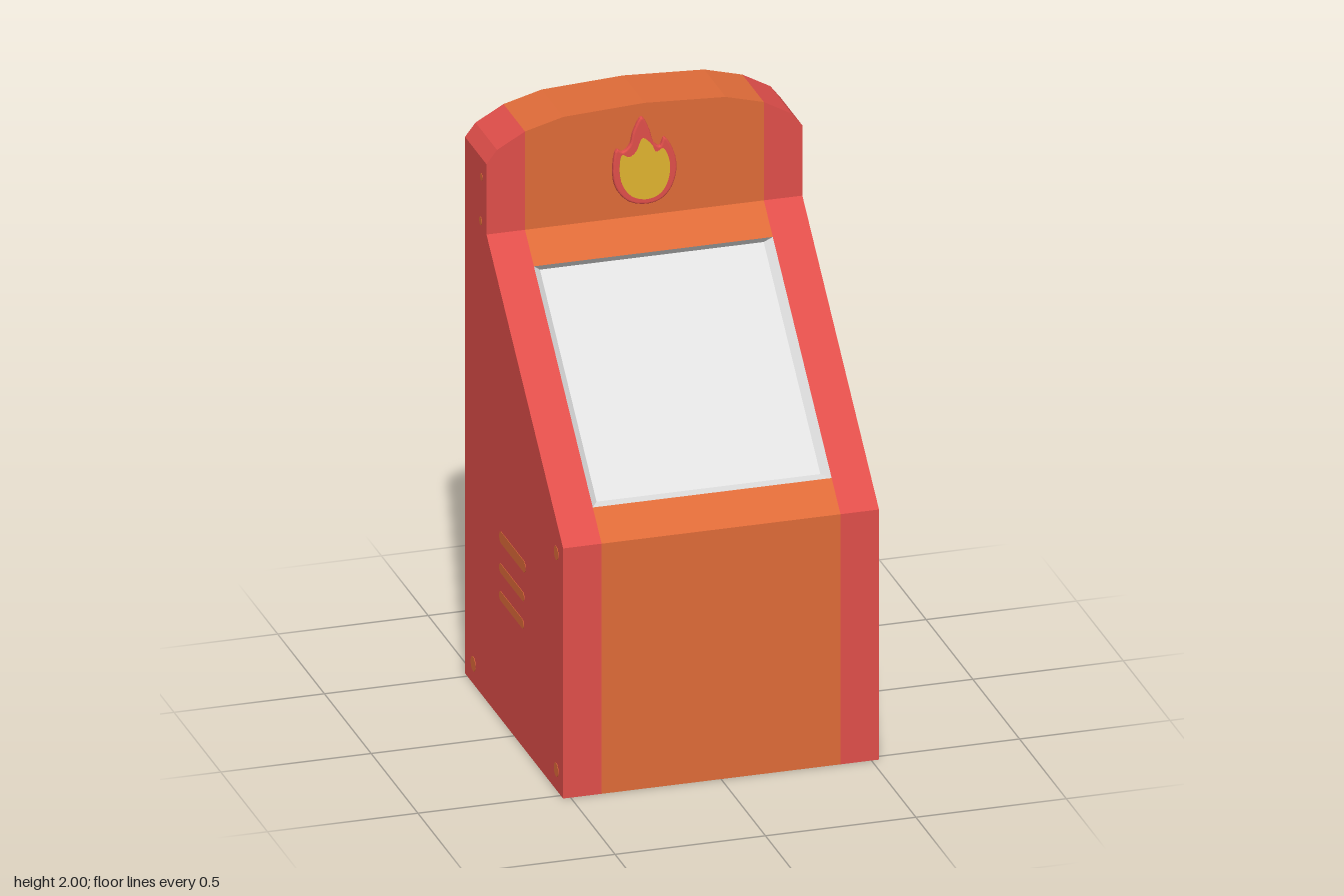
import * as THREE from 'three';

const HALF = 0.525, BAND = 0.397, FRONT = 0.525, BACK = -0.525, CROWN = -0.295;
const SILL = 0.865, SHELF = 1.612;

const paint = (name, color) => {
  const m = new THREE.MeshStandardMaterial({ color });
  m.name = name;
  return m;
};

// Point on the sloping panel: s runs up the slope, d goes down into it; returns [z, y]
const slope = new THREE.Vector2(CROWN - FRONT, SHELF - SILL).normalize();
const onSlope = (s, d) => [
  FRONT + slope.x * s - slope.y * d,
  SILL + slope.y * s + slope.x * d,
];

// Extrude a side profile of [z, y] points from x0 to x1
function acrossX(shape, x0, x1) {
  const g = new THREE.ExtrudeGeometry(shape, { depth: x1 - x0, bevelEnabled: false, curveSegments: 12 });
  return g.rotateY(Math.PI / 2).translate(x0, 0, 0);
}
const sideShape = (pts) => new THREE.Shape(pts.map(([z, y]) => new THREE.Vector2(-z, y)));
const frontShape = (pts) => new THREE.Shape(pts.map(([x, y]) => new THREE.Vector2(x, y)));

// Smooth closed outline through points
function blob(pts) {
  const v = pts.map(([x, y]) => new THREE.Vector3(x, y, 0));
  const curve = new THREE.CatmullRomCurve3(v, true, 'centripetal');
  return new THREE.Shape(curve.getPoints(72).slice(0, -1).map((p) => new THREE.Vector2(p.x, p.y)));
}

// Slot with round ends, from z0 to z1 (z0 > z1); equal ends give a disc
function slot(z0, z1, y, r) {
  const s = new THREE.Shape();
  s.absarc(-z1, y, r, -Math.PI / 2, Math.PI / 2, false);
  s.absarc(-z0, y, r, Math.PI / 2, Math.PI * 1.5, false);
  return s;
}

// Sunken tray: straight top wall, bevelled sides and bottom
function trayGeometry() {
  const s0 = 0.128, s1 = 0.98, depth = 0.027, inner = 0.372;
  const p = (x, s, d) => {
    const [z, y] = onSlope(s, d);
    return [x, y, z];
  };
  const [A, B, C, D] = [p(-BAND, s0, 0), p(BAND, s0, 0), p(BAND, s1, 0), p(-BAND, s1, 0)];
  const [a, b, c, d] = [p(-inner, s0 + 0.03, depth), p(inner, s0 + 0.03, depth),
    p(inner, s1 - 0.002, depth), p(-inner, s1 - 0.002, depth)];
  const pos = [];
  for (const [i, j, k, l] of [[A, B, b, a], [B, C, c, b], [C, D, d, c], [D, A, a, d], [a, b, c, d]]) {
    pos.push(...i, ...j, ...k, ...i, ...k, ...l);
  }
  const g = new THREE.BufferGeometry();
  g.setAttribute('position', new THREE.Float32BufferAttribute(pos, 3));
  g.computeVertexNormals();
  return g;
}

export function createModel() {
  const red = paint('red', 0xe04e4a);
  const orange = paint('orange', 0xde6b38);
  const grey = paint('light grey', 0xe0e0e0);
  const yellow = paint('yellow', 0xdfb430);

  const model = new THREE.Group();
  model.name = 'arcadeCabinet';
  const add = (name, geometry, material) => {
    const mesh = new THREE.Mesh(geometry, material);
    mesh.name = name;
    model.add(mesh);
  };

  // Lower cabinet: red sides and an orange middle notched for the screen
  const foot = [[BACK, 0], [FRONT, 0], [FRONT, SILL]];
  const head = [[CROWN, SHELF], [BACK, SHELF]];
  const side = sideShape([...foot, ...head]);
  const notch = [onSlope(0.128, 0), onSlope(0.128, 0.04), onSlope(0.98, 0.04), onSlope(0.98, 0)];
  add('leftSide', acrossX(side, BAND, HALF), red);
  add('rightSide', acrossX(side, -HALF, -BAND), red);
  add('middleBody', acrossX(sideShape([...foot, ...notch, ...head]), -BAND, BAND), orange);
  add('screen', trayGeometry(), grey);

  // Arched crown, split into the same three bands
  const crown = (pts) => new THREE.ExtrudeGeometry(frontShape(pts), { depth: CROWN - BACK, bevelEnabled: false })
    .translate(0, 0, BACK);
  const corner = [[BAND, SHELF], [HALF, SHELF], [HALF, 1.855], [0.49, 1.9], [BAND, 1.952]];
  add('crownLeft', crown(corner), red);
  add('crownRight', crown(corner.map(([x, y]) => [-x, y])), red);
  add('crownMiddle', crown([[-BAND, SHELF], [BAND, SHELF], [BAND, 1.952], [0.27, 1.986], [0, 2],
    [-0.27, 1.986], [-BAND, 1.952]]), orange);

  // Flame badge: rounded red body with a thin yellow heart
  const flame = blob([[0, 1.655], [-0.055, 1.67], [-0.095, 1.715], [-0.108, 1.775], [-0.095, 1.855],
    [-0.075, 1.845], [-0.052, 1.865], [-0.04, 1.91], [-0.012, 1.957], [0.012, 1.915], [0.028, 1.865],
    [0.048, 1.85], [0.063, 1.878], [0.095, 1.825], [0.104, 1.765], [0.085, 1.7], [0.05, 1.665]]);
  add('flame', new THREE.ExtrudeGeometry(flame, {
    depth: 0.008, bevelThickness: 0.006, bevelSize: 0.006, bevelOffset: -0.006, bevelSegments: 3,
  }).translate(0, 0, CROWN), red);
  const heart = blob([[0, 1.673], [-0.045, 1.688], [-0.077, 1.73], [-0.087, 1.785], [-0.078, 1.835],
    [-0.055, 1.825], [-0.033, 1.84], [-0.01, 1.885], [0.02, 1.86], [0.035, 1.832], [0.058, 1.842],
    [0.079, 1.795], [0.078, 1.745], [0.06, 1.7], [0.035, 1.68]]);
  add('flameHeart', new THREE.ExtrudeGeometry(heart, { depth: 0.003, bevelEnabled: false })
    .translate(0, 0, CROWN + 0.0125), yellow);

  // Vent slots and bolts painted on both sides
  const marks = [
    ['vent', 0.105, -0.135, 0.63, 0.02], ['vent', 0.095, -0.14, 0.522, 0.016], ['vent', 0.09, -0.14, 0.426, 0.016],
    ['bolt', 0.453, 0.453, 0.82, 0.023], ['bolt', 0.453, 0.453, 0.07, 0.023], ['bolt', -0.435, -0.435, 0.07, 0.025],
    ['bolt', -0.355, -0.355, 1.635, 0.014], ['bolt', -0.347, -0.347, 1.79, 0.012],
  ];
  for (const [name, z0, z1, y, r] of marks) {
    const shape = slot(z0, z1, y, r);
    add(name + 'Left', acrossX(shape, HALF - 0.002, HALF + 0.0015), orange);
    add(name + 'Right', acrossX(shape, -HALF - 0.0015, -HALF + 0.002), orange);
  }
  return model;
}
